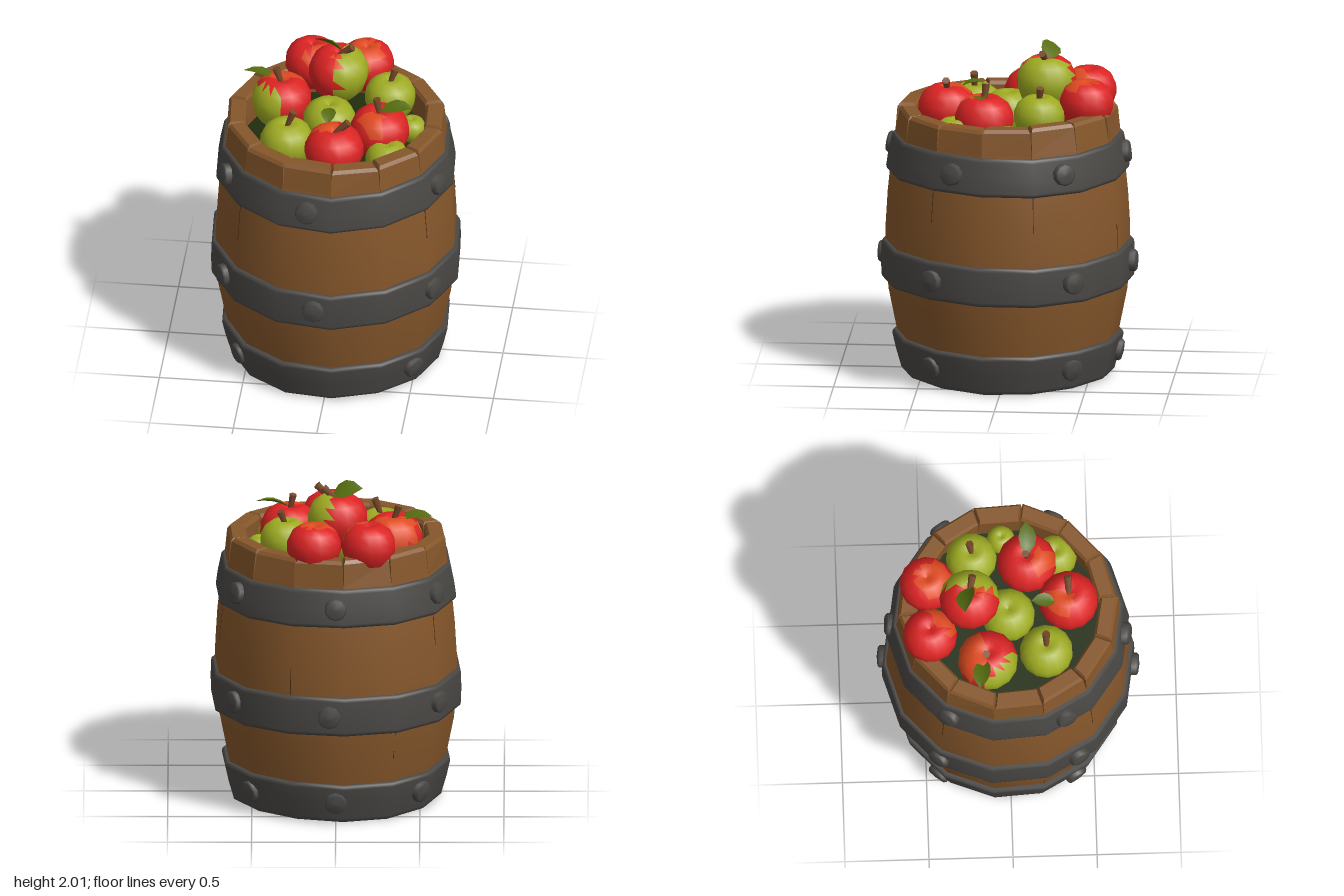
import * as THREE from 'three';

const mat = (name, color, side = THREE.FrontSide) => {
  const m = new THREE.MeshStandardMaterial({ color, side });
  m.name = name;
  return m;
};

export function createModel() {
  const wood = mat('wood', 0x86572b);
  const crackBrown = mat('dark wood', 0x4a2d16);
  const metal = mat('dark metal', 0x4a4845);
  const red = mat('apple red', 0xdc2323);
  const orange = mat('apple blush', 0xe04a20);
  const green = mat('apple green', 0x9fac22);
  const leafGreen = mat('leaf green', 0x566d0e, THREE.DoubleSide);
  const stemBrown = mat('stem brown', 0x7a4a2c);
  const shade = mat('inside dark green', 0x1f2d0d);

  const SIDES = 14, TURN = 0.07;
  const model = new THREE.Group();
  model.name = 'appleBarrel';
  const add = (name, geo, material, parent = model) => {
    const mesh = new THREE.Mesh(geo, material);
    mesh.name = name;
    parent.add(mesh);
    return mesh;
  };
  const vec = p => new THREE.Vector3(...p);
  const lathe = pts => new THREE.LatheGeometry(
    pts.map(p => new THREE.Vector2(p[0], p[1])), SIDES, TURN);
  let seed = 7;
  const rnd = () => (seed = (seed * 16807) % 2147483647) / 2147483647 - 0.5;

  // Bulging wooden wall, up to behind the top hoop
  const wall = [[0.61, 0.02], [0.66, 0.25], [0.71, 0.5], [0.728, 0.7],
    [0.727, 0.9], [0.715, 1.1], [0.7, 1.25], [0.681, 1.38]];
  add('barrelWall', lathe(wall), wood);
  const wallRadius = y => {
    const i = Math.max(1, wall.findIndex(p => p[1] >= y));
    const [a, b] = [wall[i - 1], wall[i]];
    return a[0] + (b[0] - a[0]) * (y - a[1]) / (b[1] - a[1]);
  };

  // Separate stave ends forming the rim, bevelled at the top
  const step = Math.PI * 2 / SIDES;
  for (let i = 0; i < SIDES; i++) {
    let geo = new THREE.BoxGeometry(1, 1, 1, 1, 3, 1);
    const p = geo.attributes.position;
    const top = 1.635 + rnd() * 0.025, skew = rnd() * 0.02, lean = rnd() * 0.015;
    for (let k = 0; k < p.count; k++) {
      const level = Math.round((p.getY(k) + 0.5) * 3);
      const outer = p.getZ(k) > 0;
      const y = [1.34, 1.48, top - 0.02, top][level];
      const spread = [1, 0.995, 0.97, 0.91][level];
      const bevel = level === 3 ? 0.014 : 0;
      const a = TURN + (i + 0.5 + p.getX(k) * spread) * step;
      const r = (outer ? 0.688 - (y - 1.34) * 0.14 - bevel : 0.555 - (y - 1.34) * 0.05 + bevel)
        + (level > 1 ? lean + skew * p.getX(k) : 0);
      p.setXYZ(k, Math.sin(a) * r, y, Math.cos(a) * r);
    }
    geo = geo.toNonIndexed();
    geo.computeVertexNormals();
    add('rimStave', geo, wood);
  }

  // Thin cracks between staves: angle index, low y, high y
  for (const [i, y0, y1] of [[-2, 1.0, 1.24], [2, 1.05, 1.24], [4, 1.02, 1.24],
    [-5, 1.05, 1.24], [6, 0.82, 0.98], [-3, 0.3, 0.56], [-6, 0.4, 0.58]]) {
    const a = TURN + i * step, r0 = wallRadius(y0), r1 = wallRadius(y1);
    const crack = add('staveCrack', new THREE.BoxGeometry(0.004, Math.hypot(y1 - y0, r1 - r0), 0.004), crackBrown);
    const r = (r0 + r1) / 2;
    crack.position.set(Math.sin(a) * r, (y0 + y1) / 2, Math.cos(a) * r);
    crack.rotation.set(Math.atan2(r1 - r0, y1 - y0), a, 0, 'YXZ');
  }

  // Metal hoops with rivets: low radius and y, high radius and y, rivet angles
  const hoops = [
    ['bottomHoop', 0.638, 0.008, 0.688, 0.252, [51, 130, 180, -130, -54]],
    ['middleHoop', 0.752, 0.572, 0.752, 0.81, [-4, 57, 126, 177, -125, -57]],
    ['topHoop', 0.724, 1.238, 0.692, 1.468, [-8, 66, 123, 180, -122, -62]],
  ];
  for (const [name, r0, y0, r1, y1, angles] of hoops) {
    const hoop = new THREE.Group();
    hoop.name = name;
    model.add(hoop);
    const geo = lathe([[r0 - 0.07, y0 + 0.005], [r0 - 0.018, y0], [r0 - 0.004, y0 + 0.008],
      [r0, y0 + 0.025], [(r0 + r1) / 2 + 0.003, (y0 + y1) / 2], [r1, y1 - 0.025],
      [r1 - 0.004, y1 - 0.008], [r1 - 0.018, y1], [r1 - 0.07, y1 - 0.005]]);
    const p = geo.attributes.position;
    // slightly uneven hammered edge
    for (let k = 0; k < p.count; k++) {
      const a = Math.atan2(p.getX(k), p.getZ(k));
      p.setY(k, p.getY(k) + 0.006 * Math.sin(3 * a + y0 * 9));
    }
    add('band', geo, metal, hoop);
    const y = (y0 + y1) / 2 + 0.008, r = (r0 + r1) / 2;
    for (const deg of angles) {
      const a = deg * Math.PI / 180;
      const dome = new THREE.LatheGeometry([[0.068, -0.03], [0.067, 0.012], [0.055, 0.024], [0, 0.03]]
        .map(q => new THREE.Vector2(...q)), 10);
      dome.rotateX(Math.PI / 2);
      const rivet = add('rivet', dome, metal, hoop);
      rivet.position.set(Math.sin(a) * r, y, Math.cos(a) * r);
      rivet.rotation.set(Math.atan2(r1 - r0, y1 - y0), a, 0, 'YXZ');
    }
  }

  // Closed bottom and dark filling under the apples
  const disc = (name, r, y, turn, material) => {
    const mesh = add(name, new THREE.CircleGeometry(r, SIDES, TURN), material);
    mesh.rotation.x = turn;
    mesh.position.y = y;
  };
  disc('barrelBottom', 0.63, 0.008, Math.PI / 2, metal);
  disc('fillingFloor', 0.57, 1.44, -Math.PI / 2, shade);

  // Apple: lathe with a dimple, faces sorted into red, blush and green
  const profile = [[0, -0.78], [0.22, -0.88], [0.55, -0.8], [0.84, -0.48], [0.99, -0.05],
    [0.98, 0.3], [0.82, 0.65], [0.52, 0.87], [0.24, 0.88], [0, 0.74]];
  const apple = (c, r, base, greenSide, blushSide, stemTip) => {
    const geo = new THREE.LatheGeometry(profile.map(q => new THREE.Vector2(q[0] * r, q[1] * r)), 14, c[0] * 9);
    const p = geo.attributes.position, idx = geo.index.array;
    const lists = [[], [], []];
    const within = (n, side, slack) => side && n.dot(vec(side).normalize()) > side[3] - slack;
    for (let t = 0; t < idx.length; t += 3) {
      const tri = [idx[t], idx[t + 1], idx[t + 2]];
      const n = new THREE.Vector3();
      tri.forEach(k => n.add(new THREE.Vector3().fromBufferAttribute(p, k)));
      n.normalize();
      const jag = rnd() * 0.1;
      lists[base === green || within(n, greenSide, jag) ? 2 : within(n, blushSide, jag) ? 1 : 0].push(...tri);
    }
    geo.setIndex(lists.flat());
    let start = 0;
    lists.forEach((list, m) => {
      if (list.length) geo.addGroup(start, list.length, m);
      start += list.length;
    });
    add('apple', geo, [red, orange, green]).position.set(...c);
    if (!stemTip) return;
    const from = new THREE.Vector3(c[0], c[1] + r * 0.7, c[2]), to = vec(stemTip);
    const stemGeo = new THREE.CylinderGeometry(0.024, 0.015, from.distanceTo(to), 6);
    const stem = add('stem', stemGeo, stemBrown);
    stem.position.copy(from).lerp(to, 0.5);
    stem.quaternion.setFromUnitVectors(new THREE.Vector3(0, 1, 0), to.clone().sub(from).normalize());
  };
  apple([-0.01, 1.765, -0.23], 0.18, red, [1, 0.05, 0.15, 0.2], [0.8, 0.7, 0.5, 0.62], [0.075, 1.965, -0.21]);
  apple([-0.195, 1.67, -0.47], 0.163, red, null, [0.6, 0.5, 0.7, 0.72]);
  apple([0.13, 1.67, -0.48], 0.163, red, null, [-0.1, 0.9, 0.35, 0.72]);
  apple([-0.34, 1.605, -0.13], 0.18, red, [-0.8, -0.1, 0.75, 0.5], [0, 0.6, -0.7, 0.65], [-0.375, 1.83, -0.14]);
  apple([0.3, 1.625, -0.21], 0.153, green, null, null, [0.33, 1.82, -0.22]);
  apple([-0.04, 1.56, 0.0], 0.16, green);
  apple([-0.27, 1.54, 0.22], 0.16, green, null, null, [-0.23, 1.76, 0.22]);
  apple([0.03, 1.59, 0.36], 0.178, red, null, [-0.35, 0.9, -0.3, 0.86], [0.115, 1.8, 0.36]);
  apple([0.275, 1.59, 0.12], 0.178, red, null, [-0.2, 0.75, 0.6, 0.88], [0.255, 1.82, 0.11]);
  apple([0.34, 1.51, 0.29], 0.13, green);
  apple([0.45, 1.53, -0.03], 0.085, green);

  // Folded pointed leaf from base to tip
  const leaf = (base, tip, width, roll) => {
    const length = vec(base).distanceTo(vec(tip));
    const geo = new THREE.PlaneGeometry(1, 1, 2, 4);
    const p = geo.attributes.position;
    for (let k = 0; k < p.count; k++) {
      const t = p.getY(k) + 0.5;
      const w = [0.12, 0.8, 1, 0.75, 0][Math.round(t * 4)] * width;
      p.setXYZ(k, p.getX(k) * w, Math.abs(p.getX(k)) * w * 0.3 + Math.sin(t * Math.PI) * 0.015, t * length);
    }
    geo.computeVertexNormals();
    // keep the upper side as the front face
    geo.setIndex(Array.from(geo.index.array).reverse());
    geo.computeVertexNormals();
    const mesh = add('leaf', geo, leafGreen);
    mesh.position.set(...base);
    mesh.lookAt(vec(tip));
    mesh.rotateZ(roll);
  };
  leaf([0.02, 1.92, -0.22], [-0.16, 1.975, -0.26], 0.13, 0.6);
  leaf([-0.38, 1.745, -0.15], [-0.575, 1.775, -0.18], 0.11, 0.2);
  leaf([0.28, 1.74, 0.12], [0.475, 1.775, 0.12], 0.11, 0.2);
  leaf([-0.02, 1.73, 0.28], [-0.02, 1.755, 0.14], 0.09, 0);

  return model;
}
